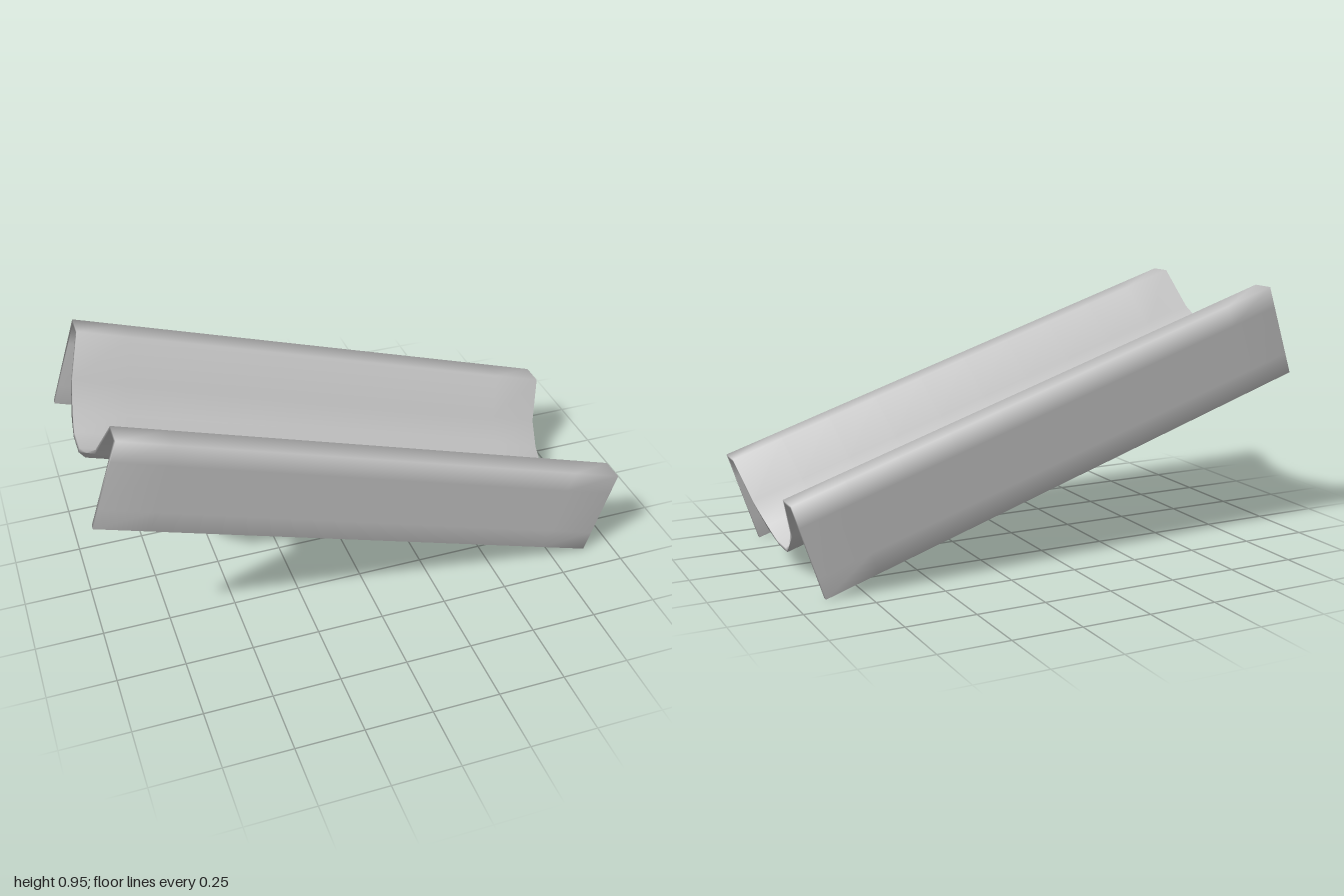
import * as THREE from 'three';
import { mergeVertices } from 'three/addons/utils/BufferGeometryUtils.js';

const TILT = 0.3153;   // slope of the chute, radians
const LENGTH = 1.987;

export function createModel() {
  const group = new THREE.Group();

  // Half of the cross-section as [sideways, height]
  const upper = [[0.05, 0.088], [0.135, 0.127], [0.225, 0.2], [0.31, 0.352],
    [0.4, 0.352], [0.4, 0.27], [0.4, 0.08], [0.4, 0]];
  const lower = [[0.38, 0], [0.38, 0.08], [0.38, 0.26], [0.38, 0.341],
    [0.317, 0.341], [0.235, 0.19], [0.14, 0.11], [0.05, 0.071]];
  const mirror = (points) => points.map(([s, h]) => [-s, h]).reverse();

  // Full outline: over the trough from side to side, then back underneath
  const outline = [...mirror(upper), ...upper, ...lower, ...mirror(lower)];
  const shape = new THREE.Shape(outline.map(([s, h]) => new THREE.Vector2(s, h)));

  // Sweep along the chute, weld for soft shading, then tilt it into place
  let geometry = new THREE.ExtrudeGeometry(shape, { depth: LENGTH, steps: 10, bevelEnabled: false });
  geometry.deleteAttribute('normal');
  geometry.deleteAttribute('uv');
  geometry = mergeVertices(geometry, 1e-4);
  geometry.rotateY(Math.PI / 2);
  geometry.rotateZ(-TILT);
  geometry.translate(-1, LENGTH * Math.sin(TILT), 0);
  geometry.computeVertexNormals();

  const chute = new THREE.Mesh(geometry, new THREE.MeshStandardMaterial({
    color: 0xcccccc, side: THREE.DoubleSide,
  }));
  chute.name = 'slideChute';
  group.add(chute);
  return group;
}
